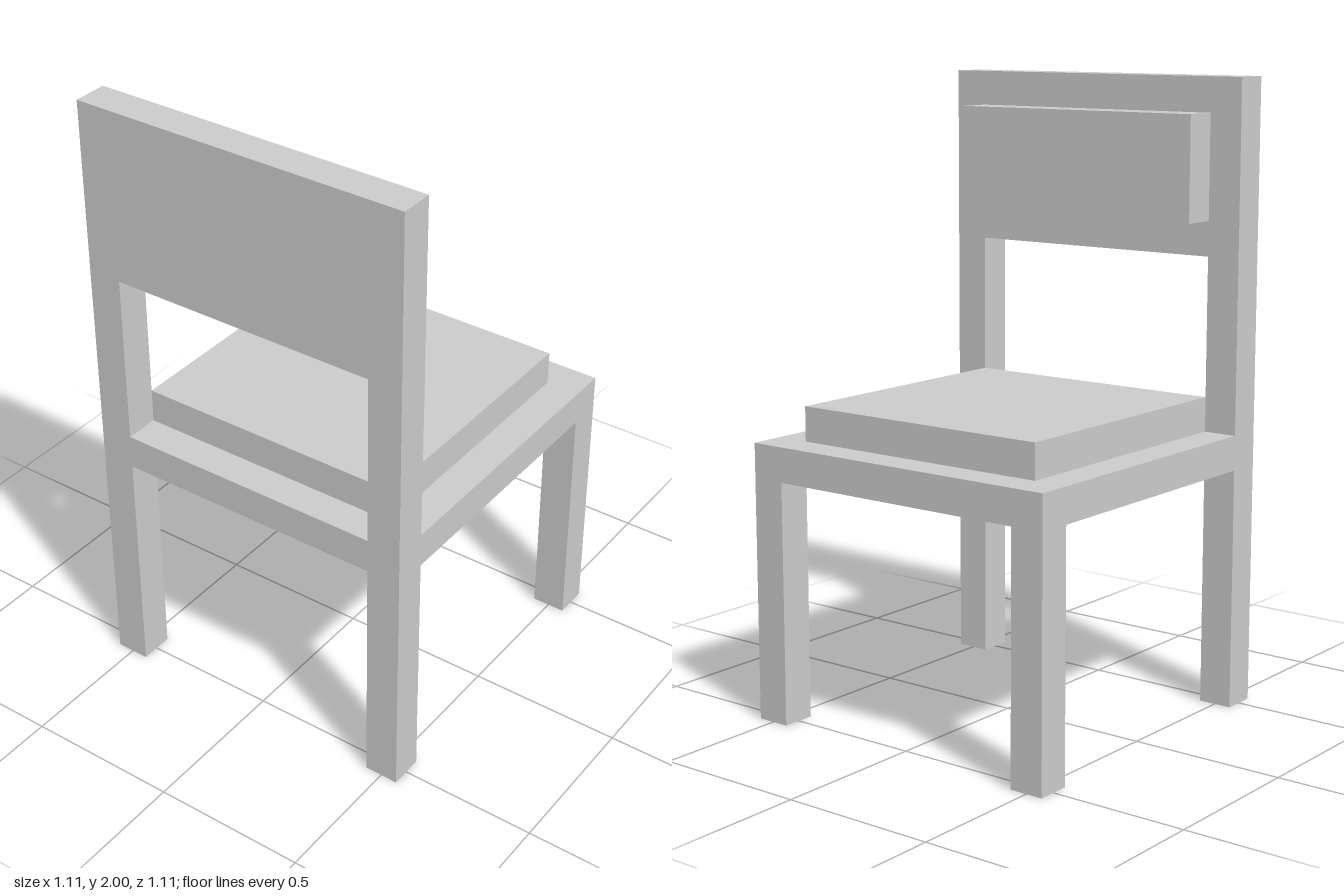
import * as THREE from 'three';

// The chair sits on a module: every beam is one unit square, 18 units tall.
const U = 1 / 9;

export function createModel() {
  const chair = new THREE.Group();
  chair.name = 'chair';
  const material = new THREE.MeshStandardMaterial({ color: 0xcccccc, flatShading: true });

  const add = (name, geometry) => {
    const mesh = new THREE.Mesh(geometry, material);
    mesh.name = name;
    chair.add(mesh);
  };

  // Box given by its lower and upper corners, in units
  const box = (name, [x0, y0, z0], [x1, y1, z1]) => add(name,
    new THREE.BoxGeometry((x1 - x0) * U, (y1 - y0) * U, (z1 - z0) * U)
      .translate((x0 + x1) / 2 * U, (y0 + y1) / 2 * U, (z0 + z1) / 2 * U));

  const points = (list) => list.map(([x, y]) => new THREE.Vector2(x * U, y * U));

  // One-unit-thick frame: two legs joined by a rail, with an optional window
  const frame = (name, top, z, window) => {
    const shape = new THREE.Shape(points([
      [-5, 0], [-4, 0], [-4, 7], [4, 7], [4, 0], [5, 0], [5, top], [-5, top]]));
    if (window) shape.holes.push(new THREE.Path(points(window)));
    add(name, new THREE.ExtrudeGeometry(shape, { depth: U, bevelEnabled: false })
      .translate(0, 0, z * U));
  };

  // Tall frame carrying the backrest, and the short leg frame opposite
  frame('backFrame', 18, 4, [[-4, 8], [-4, 13], [4, 13], [4, 8]]);
  frame('legFrame', 8, -5);

  // Side rails of the open seat frame
  box('leftRail', [4, 7, -4], [5, 8, 4]);
  box('rightRail', [-5, 7, -4], [-4, 8, 4]);

  // Cushions
  box('seatCushion', [-4, 8, -4], [4, 9, 4]);
  box('backCushion', [-4, 14, 3], [4, 17, 4]);

  return chair;
}
